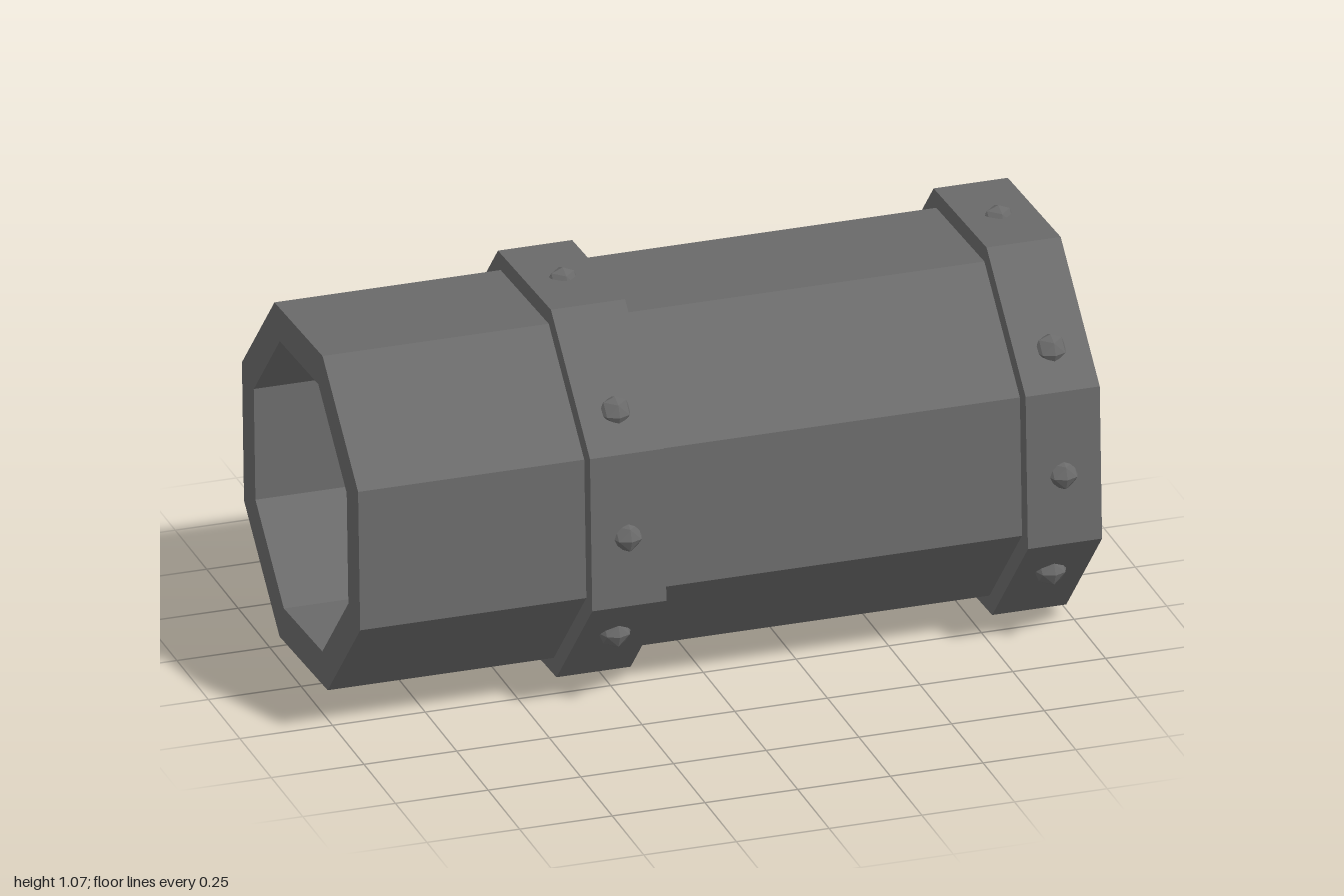
import * as THREE from 'three';

const CENTER_Y = 0.54;
const TILT = THREE.MathUtils.degToRad(2.5);

// Corners of a slightly rolled regular octagon
function octagon(path, radius) {
  const points = [];
  for (let i = 0; i < 8; i++) {
    const a = Math.PI / 8 + (i * Math.PI) / 4 - TILT;
    points.push(new THREE.Vector2(Math.cos(a) * radius, Math.sin(a) * radius));
  }
  return path.setFromPoints(points);
}

// Hollow octagonal sleeve running along x
function sleeve(name, outer, inner, x0, x1, material) {
  const shape = octagon(new THREE.Shape(), outer);
  shape.holes.push(octagon(new THREE.Path(), inner));
  const geometry = new THREE.ExtrudeGeometry(shape, { depth: x1 - x0, bevelEnabled: false });
  geometry.rotateY(Math.PI / 2);
  geometry.translate(x0, CENTER_Y, 0);
  const mesh = new THREE.Mesh(geometry, material);
  mesh.name = name;
  return mesh;
}

export function createModel() {
  const group = new THREE.Group();
  group.name = 'pipe';
  const metal = new THREE.MeshStandardMaterial({ color: 0x6a6a6a, flatShading: true });

  // Main tube
  group.add(sleeve('tube', 0.5, 0.4, -1, 1, metal));

  // Rivet centres around a band, as [z, y] from the pipe axis
  const rivets = [
    [-0.013, 0.49], [0.4, 0.308], [0.495, 0], [0.4, -0.31],
    [0.013, -0.492], [-0.4, -0.31], [-0.495, 0], [-0.4, 0.308],
  ];
  const rivetGeometry = new THREE.OctahedronGeometry(0.043, 1);

  // Two raised bands, each with a ring of rivets
  for (const [label, x0, x1] of [['middle', -0.39, -0.19], ['end', 0.785, 0.985]]) {
    const band = new THREE.Group();
    band.name = `${label}Band`;
    band.add(sleeve('collar', 0.55, 0.495, x0, x1, metal));
    for (const [z, y] of rivets) {
      const rivet = new THREE.Mesh(rivetGeometry, metal);
      rivet.name = 'rivet';
      rivet.position.set((x0 + x1) / 2, CENTER_Y + y, z);
      band.add(rivet);
    }
    group.add(band);
  }
  return group;
}
